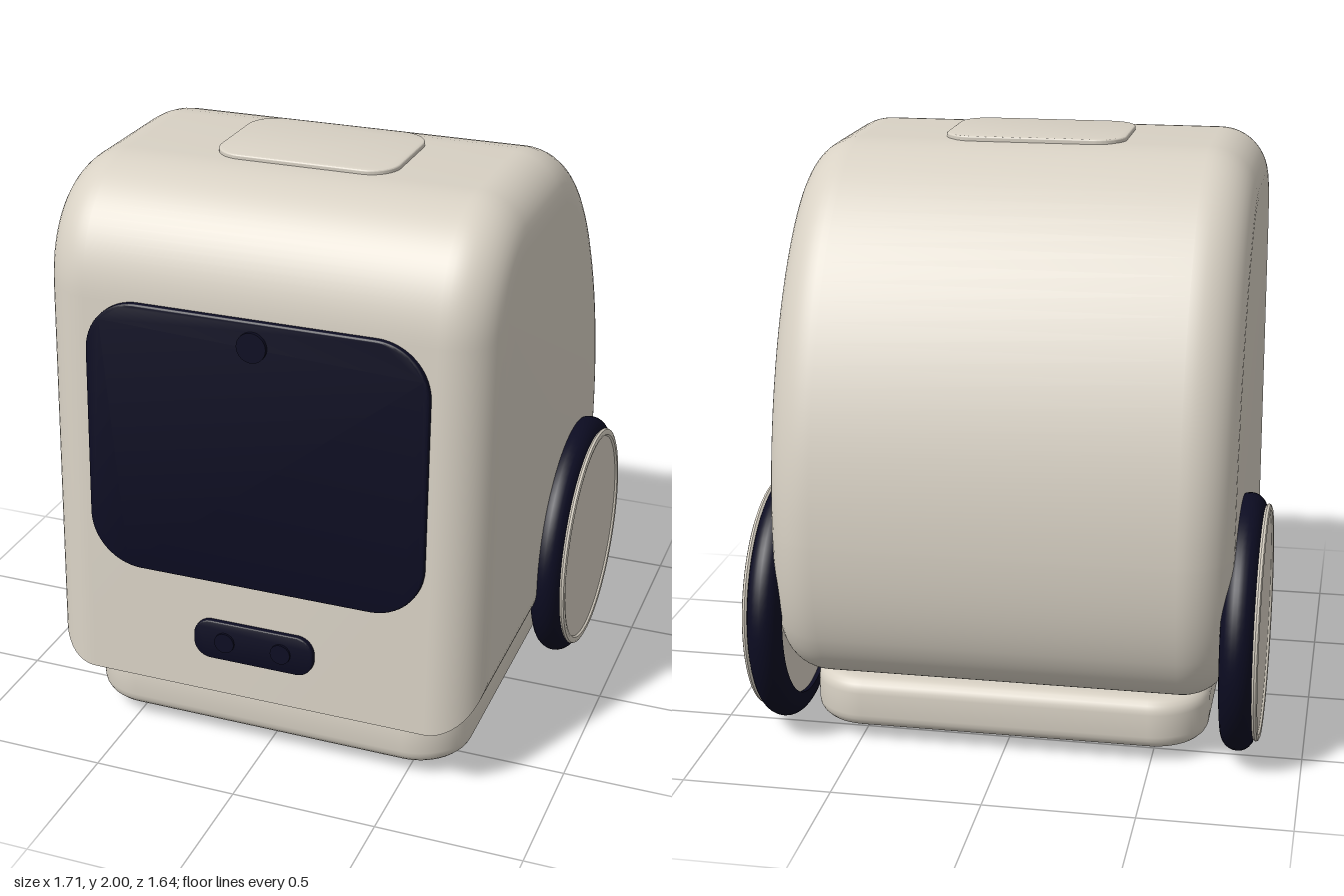
import * as THREE from 'three';
import { toCreasedNormals } from 'three/addons/utils/BufferGeometryUtils.js';

const shell = new THREE.MeshStandardMaterial({ color: 0xd8d1c4 });
shell.name = 'warm grey shell';
const dark = new THREE.MeshStandardMaterial({ color: 0x0c0c22 });
dark.name = 'dark navy';

function add(parent, name, geometry, material, x = 0, y = 0, z = 0) {
  const mesh = new THREE.Mesh(geometry, material);
  mesh.name = name;
  mesh.position.set(x, y, z);
  parent.add(mesh);
  return mesh;
}

// Extrusion along z, centred on z = 0, with edges rounded inside the outline
function roundedExtrude(shape, depth, bevel, segments, curveSegments) {
  const g = new THREE.ExtrudeGeometry(shape, {
    depth: depth - 2 * bevel, curveSegments,
    bevelEnabled: true, bevelSize: bevel, bevelThickness: bevel,
    bevelOffset: -bevel, bevelSegments: segments,
  });
  g.translate(0, 0, bevel - depth / 2);
  return toCreasedNormals(g, 0.5);
}

function roundedRect(w, h, r) {
  const s = new THREE.Shape(), x = w / 2 - r, y = h / 2 - r;
  s.absarc(x, y, r, 0, Math.PI / 2);
  s.absarc(-x, y, r, Math.PI / 2, Math.PI);
  s.absarc(-x, -y, r, Math.PI, Math.PI * 1.5);
  s.absarc(x, -y, r, Math.PI * 1.5, Math.PI * 2);
  s.closePath();
  return s;
}

const plate = (w, h, r, depth, bevel) => roundedExtrude(roundedRect(w, h, r), depth, bevel, 5, 12);

// Ring or disc turned about the x axis
function turned(points) {
  const g = new THREE.LatheGeometry(points.map(([r, x]) => new THREE.Vector2(r, x)), 72);
  g.rotateZ(-Math.PI / 2);
  return toCreasedNormals(g, 0.6);
}

export function createModel() {
  const model = new THREE.Group();
  model.name = 'homeRobot';

  // Body: side outline (z, y) swept across the width with soft side edges
  const side = new THREE.Shape();
  side.moveTo(0.8, 0.25);
  side.lineTo(0.74, 1.6);
  side.bezierCurveTo(0.73, 1.83, 0.57, 1.985, 0.36, 1.985);
  side.lineTo(-0.03, 1.985);
  side.bezierCurveTo(-0.45, 1.985, -0.82, 1.37, -0.82, 0.78);
  side.bezierCurveTo(-0.82, 0.63, -0.8, 0.51, -0.765, 0.42);
  side.bezierCurveTo(-0.72, 0.31, -0.65, 0.25, -0.55, 0.25);
  side.closePath();
  const body = roundedExtrude(side, 1.53, 0.17, 12, 24);
  body.rotateY(-Math.PI / 2);
  add(model, 'body', body, shell);

  // Lid on top
  const lid = plate(0.62, 0.42, 0.1, 0.03, 0.006);
  lid.rotateX(-Math.PI / 2);
  add(model, 'topLid', lid, shell, 0, 1.985, 0.15);

  // Base tray
  const base = plate(1.36, 1.34, 0.19, 0.18, 0.05);
  base.rotateX(-Math.PI / 2);
  add(model, 'base', base, shell, 0, 0.14, 0.04);

  // Front fittings follow the slight backward lean of the face
  const lean = Math.atan(0.06 / 1.35);
  const onFace = (name, geometry, x, y, lift) => {
    const z = 0.8 - (y - 0.25) * Math.tan(lean) + lift;
    add(model, name, geometry, dark, x, y, z).rotation.x = -lean;
  };
  const lens = (r) => new THREE.CylinderGeometry(r, r, 0.03, 32).rotateX(Math.PI / 2);
  onFace('screen', plate(1.165, 0.935, 0.18, 0.03, 0.008), 0, 1.14, 0.005);
  onFace('camera', lens(0.05), 0, 1.525, 0.018);
  onFace('sensorBar', plate(0.425, 0.14, 0.06, 0.03, 0.006), 0, 0.457, 0.005);

  for (const s of [1, -1]) {
    const label = s > 0 ? 'left' : 'right';
    onFace(label + 'Sensor', lens(0.035), s * 0.1, 0.457, 0.013);

    // Front foot
    add(model, label + 'Foot', new THREE.CylinderGeometry(0.07, 0.07, 0.07, 32), dark, s * 0.395, 0.035, 0.54);

    // Wheel: round-edged tyre around a hub with a raised rim
    const wheel = new THREE.Group();
    wheel.name = label + 'Wheel';
    wheel.position.set(0, 0.435, -0.37);
    if (s < 0) wheel.rotation.y = Math.PI;
    const tread = [[0.35, 0.73]];
    for (let i = 0; i <= 12; i++) {
      const a = -Math.PI / 2 + (i / 12) * Math.PI;
      tread.push([0.38 + 0.055 * Math.cos(a), 0.785 + 0.055 * Math.sin(a)]);
    }
    tread.push([0.35, 0.84], [0.35, 0.73]);
    add(wheel, 'tyre', turned(tread), dark);
    add(wheel, 'hub', turned([
      [0, 0.745], [0.355, 0.745], [0.355, 0.838], [0.394, 0.838], [0.4, 0.845],
      [0.397, 0.853], [0.388, 0.857], [0.377, 0.855], [0.372, 0.848], [0, 0.848],
    ]), shell);
    model.add(wheel);
  }
  return model;
}
